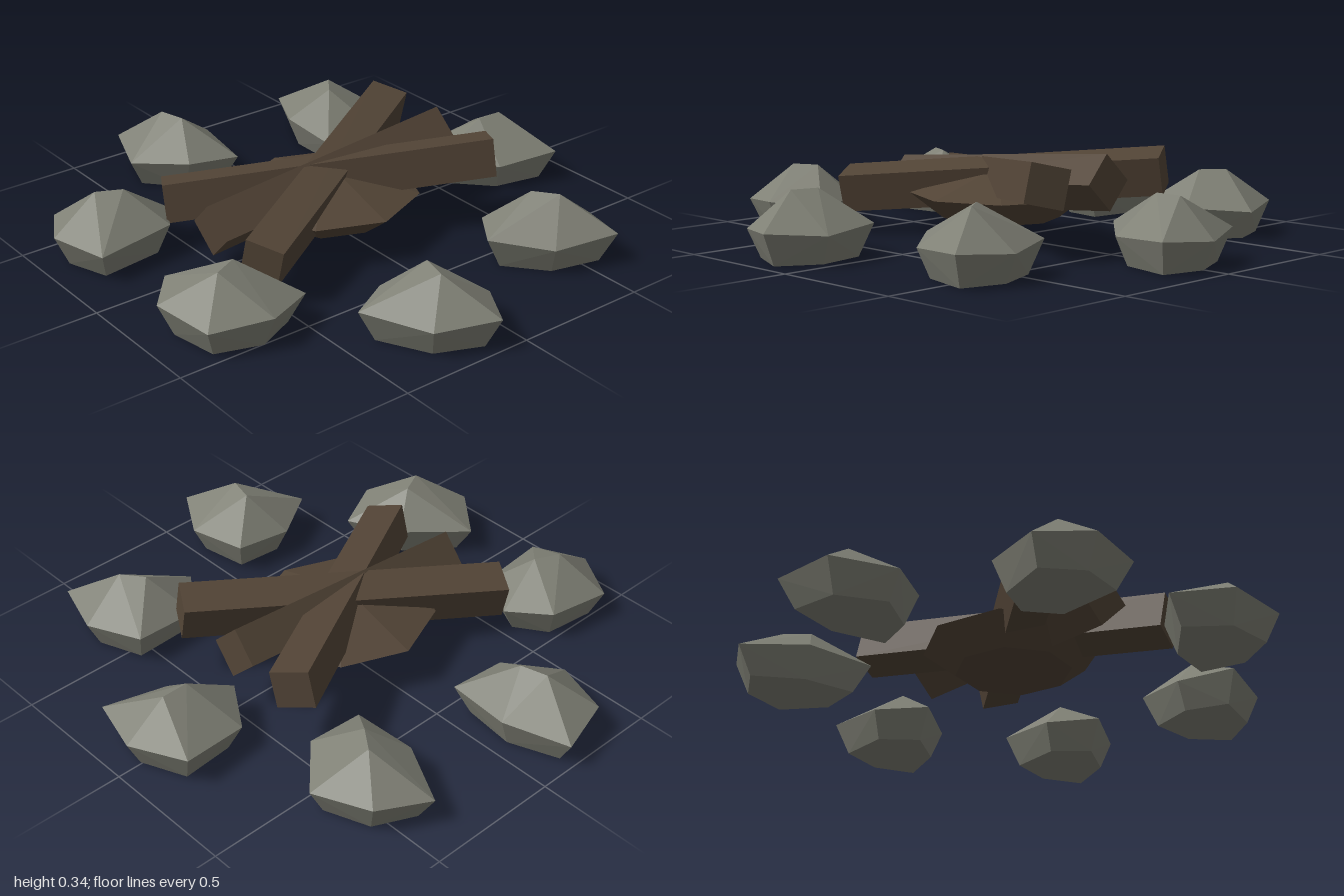
import * as THREE from 'three';
import { ConvexGeometry } from 'three/addons/geometries/ConvexGeometry.js';

const rad = THREE.MathUtils.degToRad;
const V = (x, y, z) => new THREE.Vector3(x, y, z);

// Widest outline of each stone in plan, as x, z pairs
const STONES = [
  [[-0.41, -0.72], [-0.33, -0.94], [-0.12, -1.0], [-0.03, -0.77], [-0.06, -0.52], [-0.26, -0.55]],
  [[0.39, -0.87], [0.58, -0.78], [0.66, -0.57], [0.5, -0.4], [0.28, -0.4], [0.28, -0.65]],
  [[-0.85, -0.53], [-0.6, -0.5], [-0.5, -0.35], [-0.58, -0.19], [-0.88, -0.15], [-0.95, -0.35]],
  [[-0.78, 0.08], [-0.56, 0.25], [-0.48, 0.46], [-0.67, 0.55], [-0.88, 0.48], [-0.92, 0.25]],
  [[-0.26, 0.57], [-0.04, 0.59], [0, 0.82], [-0.11, 1.0], [-0.32, 0.91], [-0.44, 0.68]],
  [[0.33, 0.42], [0.58, 0.41], [0.66, 0.62], [0.6, 0.82], [0.36, 0.76], [0.21, 0.58]],
  [[0.61, -0.18], [0.86, -0.2], [0.95, 0.01], [0.9, 0.21], [0.66, 0.16], [0.5, -0.01]],
];

// Faceted stone: narrower base, wide belt and a short ridge pointing outwards
function stoneGeometry(outline) {
  const n = outline.length;
  const cx = outline.reduce((s, p) => s + p[0], 0) / n;
  const cz = outline.reduce((s, p) => s + p[1], 0) / n;
  const r = Math.hypot(cx, cz);
  const points = [];
  outline.forEach(([x, z], i) => {
    points.push(V(x, i % 2 ? 0.115 : 0.1, z));
    points.push(V(cx + (x - cx) * 0.77, 0, cz + (z - cz) * 0.77));
  });
  for (const k of [-0.05, 0.05]) points.push(V(cx + cx / r * k, 0.232, cz + cz / r * k));
  return new ConvexGeometry(points);
}

// Eight-sided mound under the logs
function moundGeometry() {
  const points = [V(-0.03, 0.26, 0)];
  for (let i = 0; i < 8; i++) {
    const c = Math.cos(i * Math.PI / 4), s = Math.sin(i * Math.PI / 4);
    points.push(V(-0.03 + 0.33 * c, 0.16, 0.325 * s), V(-0.03 + 0.21 * c, 0.07, 0.21 * s));
  }
  return new ConvexGeometry(points);
}

export function createModel() {
  const group = new THREE.Group();
  const wood = new THREE.MeshStandardMaterial({ color: 0x524436, flatShading: true });
  wood.name = 'dark wood';
  const stone = new THREE.MeshStandardMaterial({ color: 0x7f8075, flatShading: true });
  stone.name = 'grey stone';

  const add = (name, geometry, material) => {
    const mesh = new THREE.Mesh(geometry, material);
    mesh.name = name;
    group.add(mesh);
    return mesh;
  };

  // Ring of stones
  STONES.forEach((outline, i) => add(`stone${i + 1}`, stoneGeometry(outline), stone));

  add('mound', moundGeometry(), wood);

  // Square logs crossing at the middle, each raised at its +x end
  const log = (name, length, y, yaw, roll) => {
    const mesh = add(name, new THREE.BoxGeometry(length, 0.138, 0.138), wood);
    mesh.position.set(-0.027, y, 0);
    mesh.rotation.set(rad(roll), rad(yaw), rad(5), 'YZX');
  };
  log('middleLog', 1.03, 0.2, 0, 45);
  log('crossLogA', 1.18, 0.208, -30, -12.5);
  log('crossLogB', 1.18, 0.208, 30, 12.5);

  return group;
}
